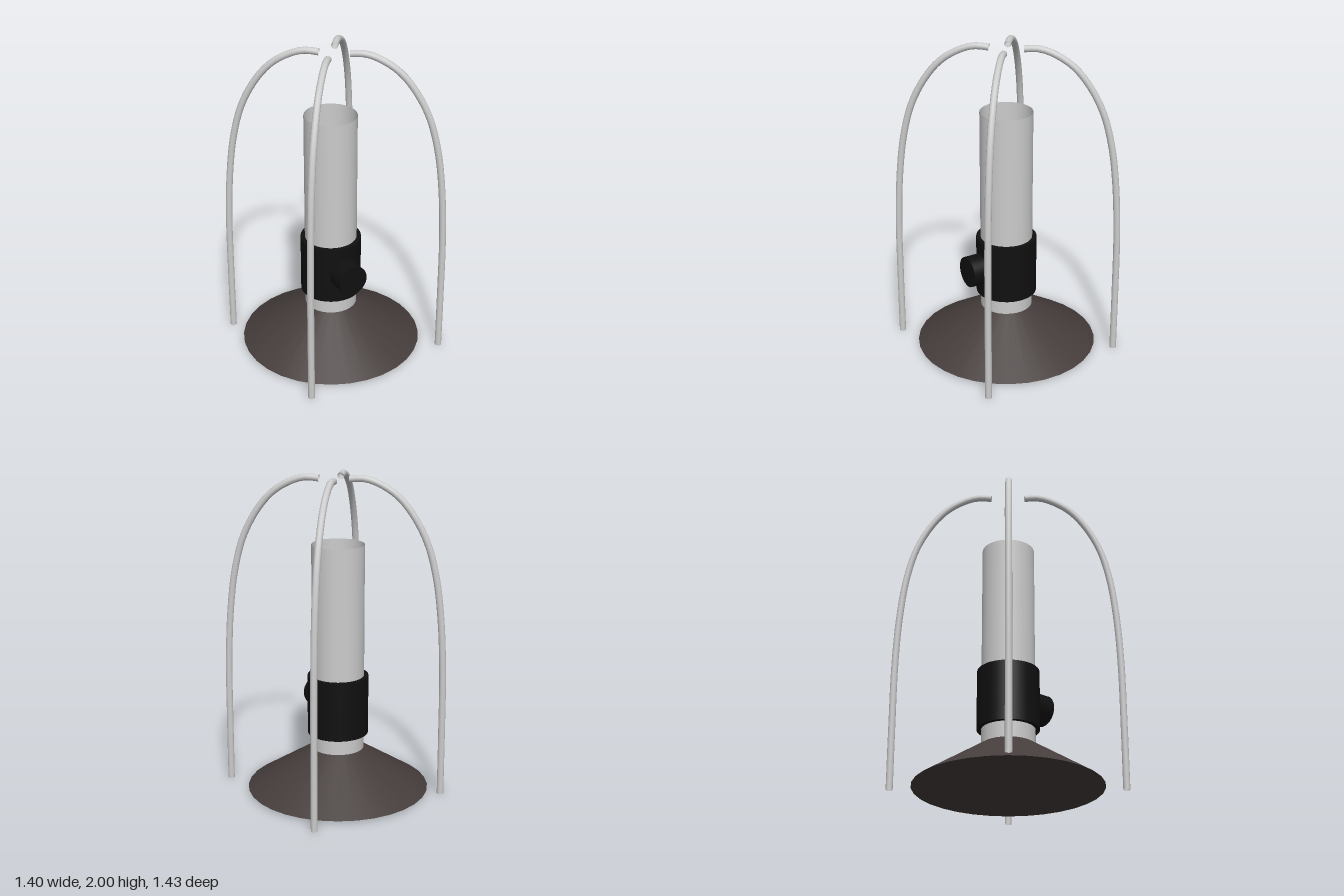
import * as THREE from 'three';

const AXIS_X = -0.027; // the lamp body stands slightly off centre

function material(color, side = THREE.FrontSide) {
  return new THREE.MeshStandardMaterial({ color, side });
}

function addMesh(parent, name, geometry, mat, x = 0, y = 0, z = 0) {
  const mesh = new THREE.Mesh(geometry, mat);
  mesh.name = name;
  mesh.position.set(x, y, z);
  parent.add(mesh);
  return mesh;
}

export function createModel() {
  const model = new THREE.Group();
  model.name = 'cagedStandModel';

  const steel = material(0xcccccc, THREE.DoubleSide);
  const black = material(0x101010);
  const brown = material(0x453d3c);

  // Flared conical base, closed underneath
  addMesh(model, 'base', new THREE.CylinderGeometry(0.163, 0.57, 0.26, 32), brown, AXIS_X, 0.14, 0);

  // Open column tube
  addMesh(model, 'column', new THREE.CylinderGeometry(0.163, 0.163, 1.305, 32, 1, true), steel, AXIS_X, 0.9225, 0);

  // Solid collar around the column
  addMesh(model, 'collar', new THREE.CylinderGeometry(0.19, 0.19, 0.376, 32), black, AXIS_X, 0.557, 0);

  // Knob pointing outwards between the front and the left
  const knob = new THREE.Group();
  knob.name = 'knob';
  knob.position.set(AXIS_X, 0.558, 0);
  knob.rotation.y = 0.692;
  const knobGeometry = new THREE.CylinderGeometry(0.097, 0.097, 0.182, 32).rotateX(Math.PI / 2);
  addMesh(knob, 'knobBarrel', knobGeometry, black, 0, 0, 0.191);
  model.add(knob);

  // Bent rod: upright foot, curving over to a tip near the axis
  const rodPath = new THREE.CatmullRomCurve3([
    [0.587, 0], [0.587, 0.4], [0.584, 0.8], [0.566, 1.13], [0.532, 1.39], [0.475, 1.6],
    [0.385, 1.77], [0.285, 1.885], [0.16, 1.958], [0.08, 1.978], [0, 1.973],
  ].map(([r, y]) => new THREE.Vector3(r, y, 0)), false, 'centripetal');
  const rodGeometry = new THREE.TubeGeometry(rodPath, 56, 0.021, 12, false);

  // Four rods: tip position and turn around the vertical axis
  const rods = [
    ['leftRod', 0.09, -0.003, 0],
    ['backRod', -0.022, -0.108, Math.PI / 2],
    ['rightRod', -0.096, 0.003, Math.PI],
    ['frontRod', -0.022, 0.104, -Math.PI / 2],
  ];
  for (const [name, x, z, turn] of rods) {
    addMesh(model, name, rodGeometry, steel, x, 0, z).rotation.y = turn;
  }

  return model;
}
